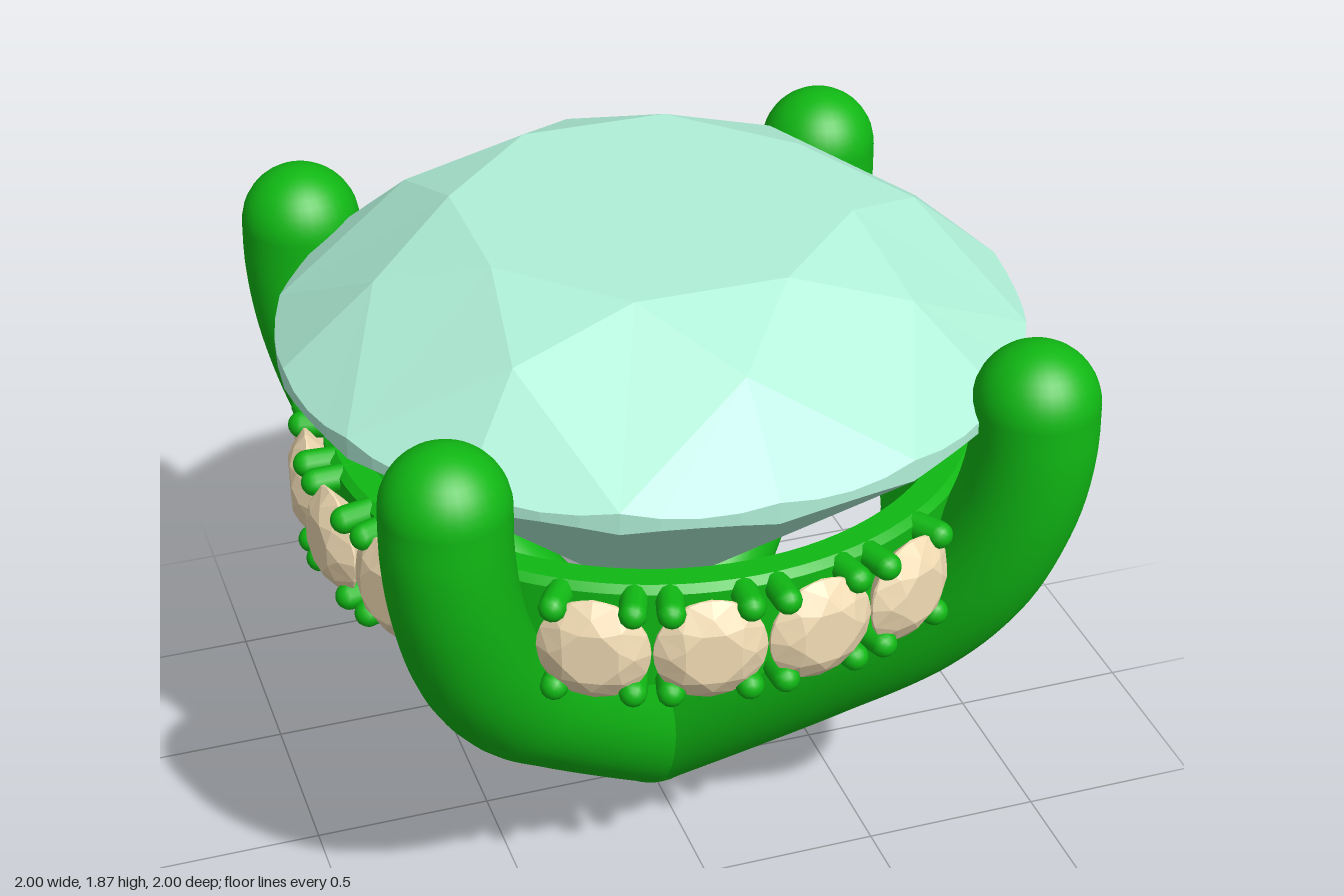
import * as THREE from 'three';
import { toCreasedNormals } from 'three/addons/utils/BufferGeometryUtils.js';

const metal = new THREE.MeshStandardMaterial({ color: 0x10b814 });
const mint = new THREE.MeshStandardMaterial({ color: 0xb0f0d8, flatShading: true });
const cream = new THREE.MeshStandardMaterial({ color: 0xf2dcb4, flatShading: true });

const GIRDLE_Y = 1.52;
const PRONG_R = 0.165;
const HALO_Y = 1.102;

// Point on a ring: radius, angle in degrees, height
function ringPoint(r, deg, y) {
  const a = THREE.MathUtils.degToRad(deg);
  return new THREE.Vector3(r * Math.cos(a), y, r * Math.sin(a));
}

// Round brilliant cut of radius 1; steps = girdle segments per half facet
function brilliant(steps) {
  const pos = [];
  const middle = new THREE.Vector3(0, 1.4, 0);
  const tri = (a, b, c) => {
    const n = b.clone().sub(a).cross(c.clone().sub(a));
    const out = a.clone().add(b).add(c).divideScalar(3).sub(middle);
    const order = n.dot(out) < 0 ? [a, c, b] : [a, b, c];
    order.forEach((p) => pos.push(p.x, p.y, p.z));
  };
  const tableCentre = new THREE.Vector3(0, 1.87, 0);
  const culet = new THREE.Vector3(0, 0.64, 0);
  for (let k = 0; k < 8; k++) {
    const d = k * 45;
    const t0 = ringPoint(0.53, d - 22.5, 1.87);
    const t1 = ringPoint(0.53, d + 22.5, 1.87);
    const m0 = ringPoint(0.75, d, 1.765);
    const m1 = ringPoint(0.75, d + 45, 1.765);
    const p0 = ringPoint(0.25, d, 0.836);
    const p1 = ringPoint(0.25, d + 45, 0.836);
    // table, star and kite facets
    tri(tableCentre, t0, t1);
    tri(t0, t1, m0);
    tri(t1, m0, ringPoint(1, d + 22.5, 1.553));
    tri(t1, m1, ringPoint(1, d + 22.5, 1.553));
    // main facets below the girdle
    tri(culet, p0, ringPoint(1, d + 22.5, 1.492));
    tri(culet, p1, ringPoint(1, d + 22.5, 1.492));
    // half facets and the scalloped girdle
    for (const side of [-1, 1]) {
      for (let i = 0; i < steps; i++) {
        const [a, b] = [i / steps, (i + 1) / steps];
        const bow = (t) => 4 * t * (1 - t);
        const at = (t, y) => ringPoint(1, d + side * 22.5 * t, y);
        const u0 = at(a, 1.553 - 0.017 * bow(a));
        const u1 = at(b, 1.553 - 0.017 * bow(b));
        const l0 = at(a, 1.492 + 0.017 * bow(a));
        const l1 = at(b, 1.492 + 0.017 * bow(b));
        tri(m0, u0, u1);
        tri(u0, u1, l0);
        tri(u1, l0, l1);
        tri(p0, l0, l1);
      }
    }
  }
  const geo = new THREE.BufferGeometry();
  geo.setAttribute('position', new THREE.Float32BufferAttribute(pos, 3));
  geo.computeVertexNormals();
  return geo;
}

function add(parent, name, geometry, material) {
  const mesh = new THREE.Mesh(geometry, material);
  mesh.name = name;
  parent.add(mesh);
  return mesh;
}

// Four curved prongs rising from a shared foot
function buildProngs() {
  const group = new THREE.Group();
  group.name = 'prongs';
  const profile = [[0, 0.155], [0.19, 0.365], [0.38, 0.58], [0.57, 0.81],
    [0.685, 1.02], [0.752, 1.25], [0.775, 1.43], [0.775, 1.56]];
  for (const sx of [-1, 1]) {
    for (const sz of [-1, 1]) {
      const pts = profile.map(([d, y]) => new THREE.Vector3(sx * d, y, sz * d));
      const curve = new THREE.CatmullRomCurve3(pts);
      add(group, 'prong', new THREE.TubeGeometry(curve, 48, PRONG_R, 32), metal);
      const tip = add(group, 'prongTip', new THREE.SphereGeometry(PRONG_R, 32, 20), metal);
      tip.position.copy(pts[pts.length - 1]);
    }
  }
  // foot, flattened where it rests
  const foot = new THREE.SphereGeometry(0.17, 32, 24).translate(0, 0.16, 0);
  const p = foot.attributes.position;
  for (let i = 0; i < p.count; i++) p.setY(i, Math.max(0, p.getY(i)));
  foot.computeVertexNormals();
  add(group, 'foot', foot, metal);
  return group;
}

// Ring of small stones held by claws
function buildHalo() {
  const group = new THREE.Group();
  group.name = 'halo';
  const profile = [[0.64, 0.95], [0.87, 0.95], [0.89, 0.965], [0.89, 1.24],
    [0.87, 1.258], [0.8, 1.258], [0.64, 0.95]].map(([r, y]) => new THREE.Vector2(r, y));
  add(group, 'band', toCreasedNormals(new THREE.LatheGeometry(profile, 96), 0.6), metal);

  const stone = brilliant(2).translate(0, -GIRDLE_Y, 0).scale(0.146, 0.146, 0.146).rotateX(Math.PI / 2);
  const claw = new THREE.CapsuleGeometry(0.037, 0.13, 5, 12).rotateX(Math.PI / 2);
  for (let k = 0; k < 20; k++) {
    if (k % 5 === 2) continue; // a prong stands here
    const deg = 9 + 18 * k;
    const place = (mesh, angle, r, y) => {
      const a = THREE.MathUtils.degToRad(angle);
      mesh.position.set(r * Math.sin(a), y, r * Math.cos(a));
      mesh.rotation.y = a;
    };
    place(add(group, 'smallStone', stone, cream), deg, 0.936, HALO_Y);
    for (const side of [-1, 1]) {
      for (const up of [-1, 1]) {
        place(add(group, 'claw', claw, metal), deg + side * 6.1, 0.883, HALO_Y + up * 0.12);
      }
    }
  }
  return group;
}

export function createModel() {
  const model = new THREE.Group();
  model.name = 'gemSetting';
  add(model, 'centreStone', brilliant(4), mint);
  model.add(buildProngs(), buildHalo());
  return model;
}
